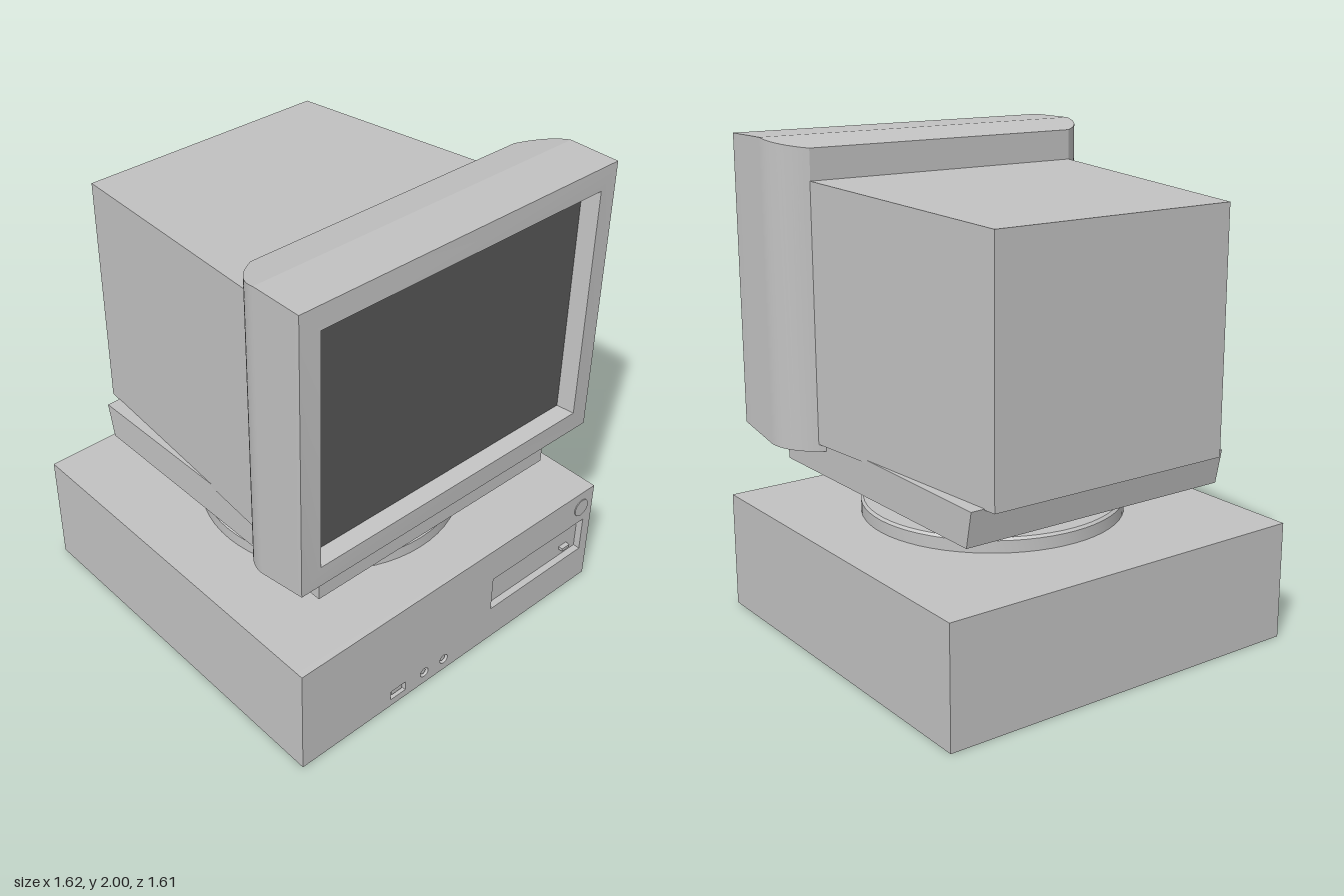
import * as THREE from 'three';
import { toCreasedNormals } from 'three/addons/utils/BufferGeometryUtils.js';

const plastic = new THREE.MeshStandardMaterial({ color: 0xc2c2c2 });
plastic.name = 'grey plastic';
const glass = new THREE.MeshStandardMaterial({ color: 0x575757 });
glass.name = 'dark glass';

// Lofts upright rectangles along x; each station is [x, halfWidth, bottom, top]
function loft(stations, capEnd = true) {
  const rings = stations.map(([x, w, y0, y1]) =>
    [[x, y0, w], [x, y0, -w], [x, y1, -w], [x, y1, w]]);
  const pos = [];
  const quad = (a, b, c, d) => [a, b, c, a, c, d].forEach((p) => pos.push(...p));
  for (let i = 0; i < rings.length - 1; i++) {
    const a = rings[i], b = rings[i + 1];
    for (let k = 0; k < 4; k++) {
      const n = (k + 1) % 4;
      quad(a[k], a[n], b[n], b[k]);
    }
  }
  const s = rings[0], e = rings[rings.length - 1];
  quad(s[0], s[3], s[2], s[1]);
  if (capEnd) quad(...e);
  const g = new THREE.BufferGeometry();
  g.setAttribute('position', new THREE.Float32BufferAttribute(pos, 3));
  return toCreasedNormals(g, 0.15);
}

const rectPath = (P, u0, v0, u1, v1) => new P([[u0, v0], [u1, v0], [u1, v1], [u0, v1]]
  .map(([u, v]) => new THREE.Vector2(u, v)));

export function createModel() {
  const model = new THREE.Group();
  model.name = 'desktopComputer';
  const add = (name, geo, x = 0, y = 0, z = 0, mat = plastic) => {
    const m = new THREE.Mesh(geo, mat);
    m.name = name;
    m.position.set(x, y, z);
    model.add(m);
    return m;
  };

  // System unit: box plus a front panel with recessed openings
  const H = 0.807, depth = 0.03;
  add('caseBody', new THREE.BoxGeometry(2 * H - depth, 0.49, 2 * H), -depth / 2, 0.245, 0);
  const panel = rectPath(THREE.Shape, -H, 0, H, 0.49);
  panel.holes.push(rectPath(THREE.Path, 0.21, 0.165, 0.76, 0.33));
  panel.holes.push(rectPath(THREE.Path, -0.35, 0.035, -0.27, 0.08));
  const jacks = [0.165, 0.055];
  for (const z of jacks) {
    const hole = new THREE.Path();
    hole.absarc(-z, 0.058, 0.022, 0, Math.PI * 2);
    panel.holes.push(hole);
  }
  const panelGeo = new THREE.ExtrudeGeometry(panel, { depth, bevelEnabled: false, curveSegments: 16 });
  add('frontPanel', panelGeo.rotateY(Math.PI / 2), H - depth);

  // Details in the front panel
  add('driveButton', new THREE.BoxGeometry(0.02, 0.014, 0.045), H - 0.02, 0.208, -0.68);
  add('portTongue', new THREE.BoxGeometry(0.022, 0.02, 0.055), H - 0.019, 0.058, 0.31);
  for (const z of jacks) {
    add('jackPin', new THREE.CylinderGeometry(0.014, 0.014, 0.022, 16).rotateZ(Math.PI / 2), H - 0.019, 0.058, z);
  }
  add('powerButton', new THREE.CylinderGeometry(0.04, 0.04, 0.008, 32).rotateZ(Math.PI / 2), H, 0.41, -0.735);

  // Swivel stand
  const disc = [[0, 0.49], [0.54, 0.49], [0.54, 0.54], [0.53, 0.55], [0, 0.55]]
    .map(([r, y]) => new THREE.Vector2(r, y));
  add('swivelDisc', toCreasedNormals(new THREE.LatheGeometry(disc, 64), 0.5), 0.055);
  add('swivelNeck', new THREE.CylinderGeometry(0.27, 0.27, 0.06, 64), 0.052, 0.575, 0);
  add('swivelPlate', new THREE.BoxGeometry(0.865, 0.05, 0.865), 0.05, 0.625, 0);

  // Monitor foot with a sloping back
  const foot = new THREE.Shape([[-0.62, 0.65], [0.67, 0.65], [0.67, 0.81], [-0.65, 0.795]]
    .map(([x, y]) => new THREE.Vector2(x, y)));
  add('monitorFoot', new THREE.ExtrudeGeometry(foot, { depth: 1.21, bevelEnabled: false }), 0, 0, -0.605);

  // Tapered tube housing
  add('monitorBack', loft([[-0.703, 0.542, 0.79, 1.785], [0.367, 0.632, 0.79, 1.84]]));

  // Screen surround: rounded rear corners, then the frame and its sloping recess
  const stations = [];
  for (let i = 0; i <= 12; i++) {
    const t = i / 12, d = 0.165 * (1 - t);
    const w = 0.755 - 0.41 * (1 - Math.sqrt(1 - (d / 0.23) ** 2));
    stations.push([0.53 - d, w, 0.759 + 0.016 * t, 1.965 + 0.035 * t]);
  }
  stations.push([0.75, 0.755, 0.815, 2], [0.756, 0.67, 0.91, 1.91], [0.7, 0.632, 0.937, 1.883]);
  add('screenSurround', loft(stations, false));
  add('surroundLip', loft([[0.32, 0.53, 0.755, 0.795], [0.366, 0.632, 0.759, 0.795]]));
  add('screen', new THREE.PlaneGeometry(1.264, 0.946).rotateY(Math.PI / 2), 0.7, 1.41, 0, glass);

  return model;
}
